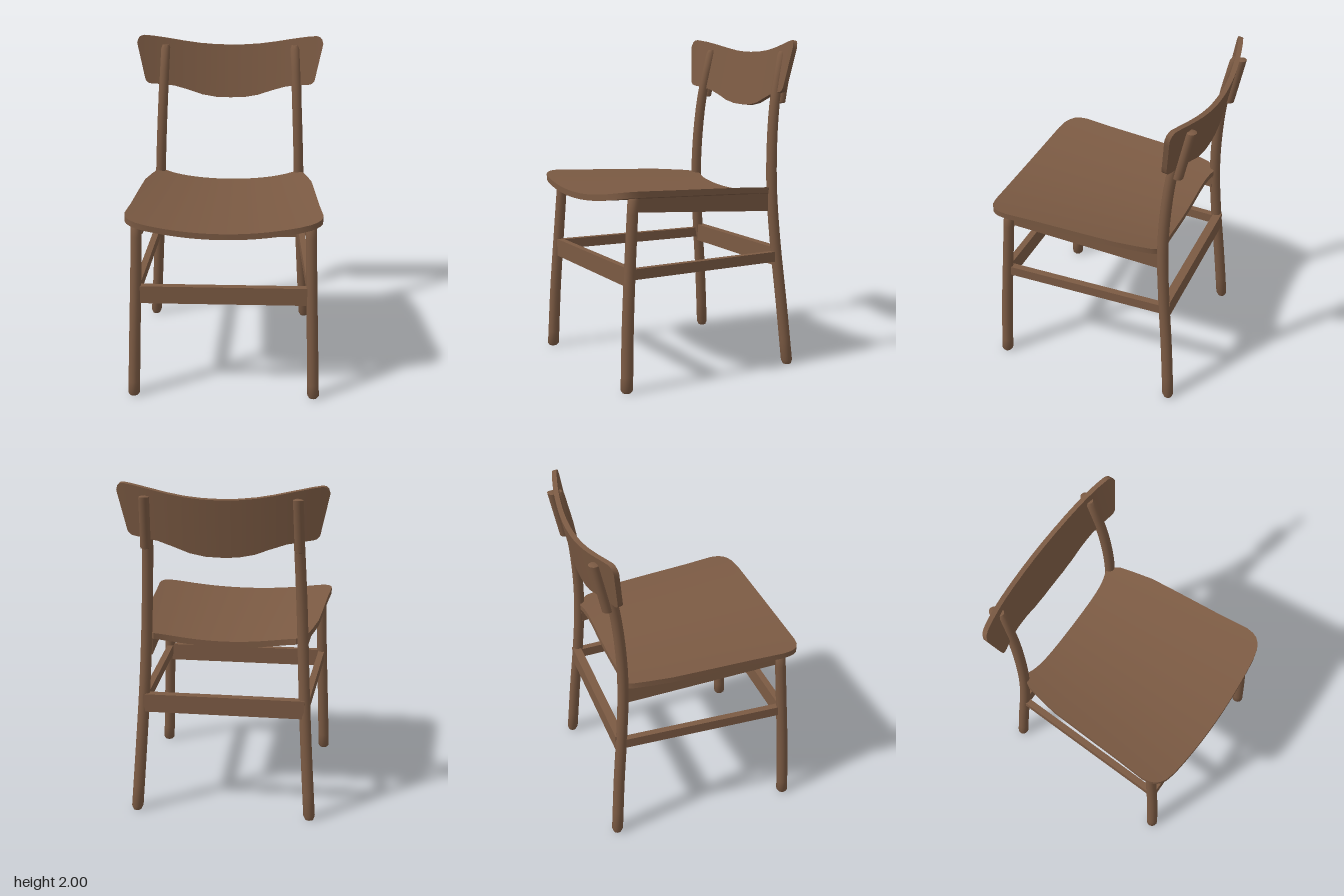
import * as THREE from 'three';
import { toCreasedNormals } from 'three/addons/utils/BufferGeometryUtils.js';

const V = (x, y, z) => new THREE.Vector3(x, y, z);
const { lerp, smoothstep } = THREE.MathUtils;

// Piecewise linear lookup through [position, value] pairs
function table(pts, t) {
  if (t <= pts[0][0]) return pts[0][1];
  for (let i = 1; i < pts.length; i++) {
    const [a, va] = pts[i - 1], [b, vb] = pts[i];
    if (t <= b) return lerp(va, vb, (t - a) / (b - a));
  }
  return pts[pts.length - 1][1];
}

// Closed curved board: surface f(u, v), u and v in 0..1, thickened by an offset
function slab(us, vs, f, offset) {
  const nu = us.length, nv = vs.length, n = nu * nv, pos = [], idx = [];
  for (const k of [0, 1])
    for (const v of vs)
      for (const u of us) pos.push(...f(u, v).addScaledVector(offset, k).toArray());
  const c = f(0.5, 0.5);
  const normal = f(0.51, 0.5).sub(c).cross(f(0.5, 0.51).sub(c));
  const flip = normal.dot(offset) > 0;
  const quad = (a, b, c2, d) => flip ? idx.push(a, c2, b, a, d, c2) : idx.push(a, b, c2, a, c2, d);
  const at = (i, j) => j * nu + i;
  for (let j = 0; j < nv - 1; j++)
    for (let i = 0; i < nu - 1; i++) {
      const a = at(i, j), b = at(i + 1, j), c2 = at(i + 1, j + 1), d = at(i, j + 1);
      quad(a, b, c2, d);
      quad(n + d, n + c2, n + b, n + a);
    }
  const rim = (a, b) => quad(b, a, n + a, n + b);
  for (let i = 0; i < nu - 1; i++) {
    rim(at(i, 0), at(i + 1, 0));
    rim(at(i + 1, nv - 1), at(i, nv - 1));
  }
  for (let j = 0; j < nv - 1; j++) {
    rim(at(nu - 1, j), at(nu - 1, j + 1));
    rim(at(0, j + 1), at(0, j));
  }
  const g = new THREE.BufferGeometry();
  g.setAttribute('position', new THREE.Float32BufferAttribute(pos, 3));
  g.setIndex(idx);
  return toCreasedNormals(g, 0.7);
}

// Round post following a curve from bottom to top, with softened ends
function post(points, r0, r1) {
  const curve = new THREE.CatmullRomCurve3(points);
  const steps = 24, g = new THREE.CylinderGeometry(1, 1, 1, 14, steps);
  const p = g.attributes.position;
  for (let i = 0; i < p.count; i++) {
    const t = p.getY(i) + 0.5;
    const row = Math.round(t * steps);
    const end = row === 0 || row === steps;
    // Pull the rows next to the ends close to them to form a small bevel
    const tt = row === 1 ? 0.012 : row === steps - 1 ? 0.988 : t;
    const c = curve.getPointAt(tt);
    const r = lerp(r0, r1, tt) * (end ? 0.72 : 1);
    p.setXYZ(i, c.x + p.getX(i) * r, c.y, c.z + p.getZ(i) * r);
  }
  return toCreasedNormals(g, 0.8);
}

const steps = n => Array.from({ length: n + 1 }, (_, i) => i / n);

export function createModel() {
  const chair = new THREE.Group();
  chair.name = 'chair';
  const wood = new THREE.MeshStandardMaterial({ color: 0x7b5a43 });
  wood.name = 'walnut wood';
  const add = (name, geometry) => {
    const m = new THREE.Mesh(geometry, wood);
    m.name = name;
    chair.add(m);
    return m;
  };
  // Straight rail between two points
  const bar = (name, a, b, height, thick) => {
    const m = add(name, new THREE.BoxGeometry(thick, height, a.distanceTo(b)));
    m.position.copy(a).add(b).multiplyScalar(0.5);
    m.lookAt(b);
  };

  // Seat: dished across its width, narrowing to the back, rounded corners
  const halfWidth = [[-0.455, 0.42], [-0.435, 0.465], [-0.4, 0.49], [-0.33, 0.51], [-0.2, 0.535],
    [0, 0.548], [0.3, 0.565], [0.5, 0.58], [0.55, 0.574], [0.585, 0.56], [0.61, 0.537],
    [0.63, 0.503], [0.645, 0.44]];
  const zRows = [-0.455, -0.435, -0.4, -0.33, -0.2, -0.1, 0, 0.15, 0.3, 0.4, 0.5, 0.55, 0.585, 0.61, 0.63, 0.645];
  const seatPoint = (u, v) => {
    const z = lerp(-0.455, 0.645, v), s = u * 2 - 1;
    const x = s * table(halfWidth, z);
    const y = lerp(1.055, 1.103, v) + lerp(0.25, 0.19, v) * x * x;
    const bow = -0.025 * s * s * smoothstep(z, 0.2, 0.645) - 0.03 * s ** 6 * smoothstep(-z, 0.3, 0.455);
    return V(x, y, z + bow);
  };
  add('seat', slab(steps(24), zRows.map(z => (z + 0.455) / 1.1), seatPoint, V(0, -0.036, 0)));

  // Backrest: curved, leaning board with a scooped top and a bellied bottom
  const topEdge = [[0, 1.925], [0.1, 1.928], [0.2, 1.937], [0.3, 1.953], [0.4, 1.973], [0.5, 1.992],
    [0.56, 2], [0.58, 1.995], [0.592, 1.982], [0.6, 1.955]];
  const bottomEdge = [[0, 1.59], [0.1, 1.593], [0.2, 1.61], [0.3, 1.643], [0.4, 1.672], [0.5, 1.686],
    [0.56, 1.693], [0.585, 1.7], [0.6, 1.72]];
  const half = [0, 0.05, 0.1, 0.15, 0.2, 0.25, 0.3, 0.35, 0.4, 0.45, 0.5, 0.54, 0.56, 0.58, 0.592, 0.6];
  const columns = [...half.slice(1).reverse().map(x => -x), ...half].map(x => x / 1.2 + 0.5);
  const backPoint = (u, v) => {
    const a = (u - 0.5) * 1.2, ax = Math.abs(a);
    const y = lerp(table(bottomEdge, ax), table(topEdge, ax), v);
    const x = a * lerp(0.915, 1, v);
    return V(x, y, -0.615 - 0.2 * (y - 1.92) + 0.095 * (x / 0.58) ** 2);
  };
  add('backrest', slab(columns, steps(6), backPoint, V(0, -0.004, -0.029)));

  for (const s of [1, -1]) {
    const side = s > 0 ? 'left' : 'right';
    // Legs
    add(side + 'FrontLeg', post([V(s * 0.55, 0, 0.56), V(s * 0.535, 0.4, 0.543),
      V(s * 0.522, 0.75, 0.52), V(s * 0.511, 1.12, 0.493)], 0.036, 0.032));
    add(side + 'BackLeg', post([V(s * 0.525, 0, -0.57), V(s * 0.498, 0.4, -0.537), V(s * 0.477, 0.75, -0.503),
      V(s * 0.463, 1.05, -0.482), V(s * 0.452, 1.3, -0.482), V(s * 0.436, 1.62, -0.509),
      V(s * 0.42, 1.935, -0.575)], 0.035, 0.031));
    // Peg that clasps the backrest from behind
    add(side + 'BackrestPeg', post([V(s * 0.44, 1.62, -0.547), V(s * 0.43, 1.93, -0.61)], 0.03, 0.03));
    // Tapered rail under the seat
    const apron = (u, v) => V(s * (lerp(0.452, 0.5, u) + 0.012),
      lerp(lerp(0.963, 1.035, u), lerp(1.085, 1.118, u), v), lerp(-0.475, 0.49, u));
    add(side + 'SeatRail', slab(steps(8), [0, 1], apron, V(-s * 0.034, 0, 0)));
    // Side stretcher
    bar(side + 'Stretcher', V(s * 0.482, 0.682, -0.505), V(s * 0.52, 0.682, 0.52), 0.062, 0.04);
  }

  // Cross stretchers
  bar('frontStretcher', V(-0.52, 0.665, 0.523), V(0.52, 0.665, 0.523), 0.11, 0.04);
  bar('backStretcher', V(-0.48, 0.68, -0.517), V(0.48, 0.68, -0.517), 0.11, 0.053);

  return chair;
}
